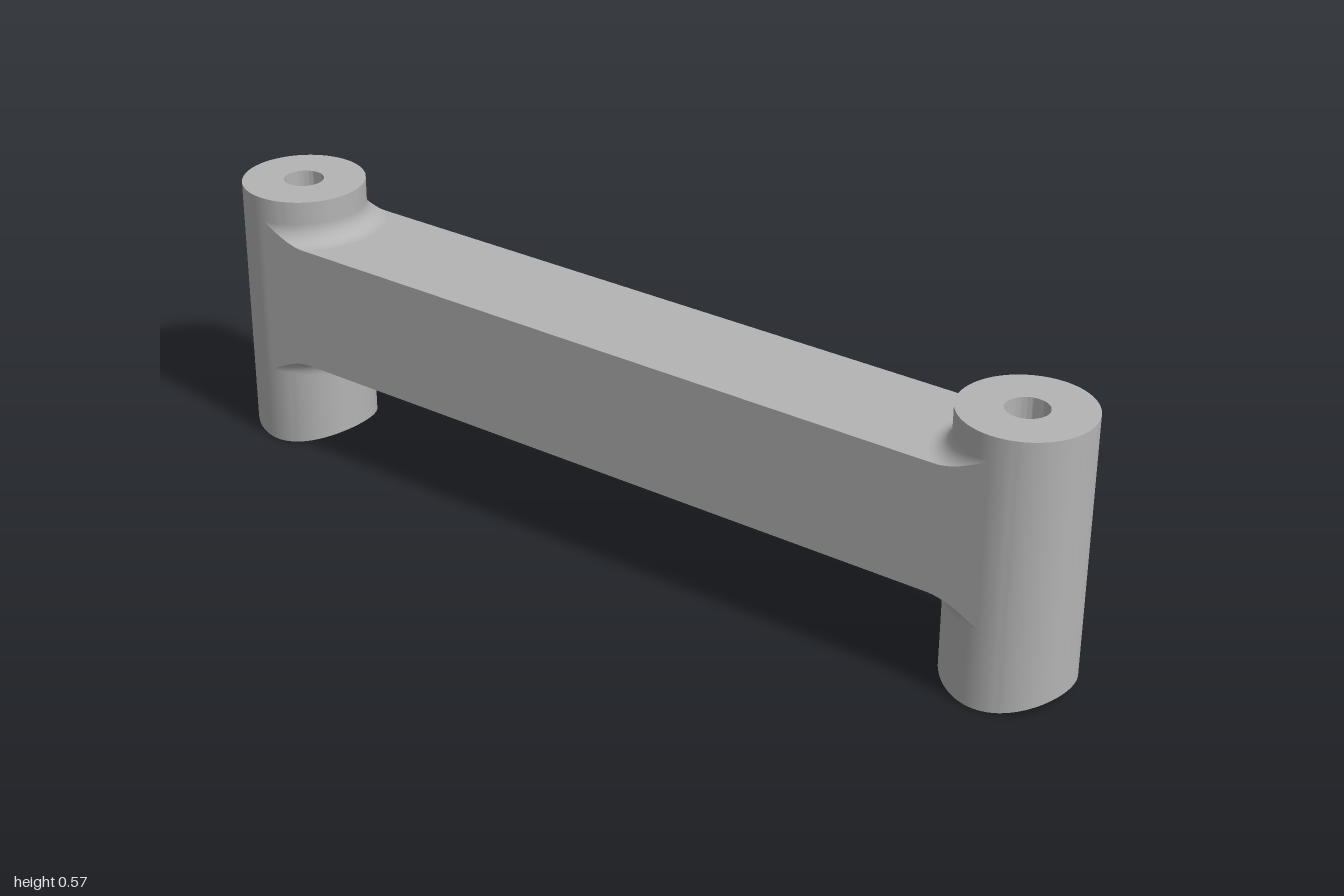
import * as THREE from 'three';
import { toCreasedNormals } from 'three/addons/utils/BufferGeometryUtils.js';

const R = 0.13, HOLE = 0.042, TOP = 0.568, POST_Z = 0.87;
const BAR_LOW = 0.21, BAR_HIGH = 0.477, FILLET = 0.04;
const SADDLE_R = 0.35, SADDLE_RISE = 0.025;

const saddle = (x) => Math.sqrt(SADDLE_R ** 2 - x * x) - SADDLE_R + SADDLE_RISE;

// Bored post with a saddle-shaped underside
function postGeometry() {
  const profile = [];
  for (let i = 0; i <= 4; i++) profile.push(new THREE.Vector2(HOLE + ((R - HOLE) * i) / 4, 0));
  profile.push(new THREE.Vector2(R, TOP), new THREE.Vector2(HOLE, TOP), new THREE.Vector2(HOLE, 0));
  const geo = new THREE.LatheGeometry(profile, 80);
  const pos = geo.attributes.position;
  for (let i = 0; i < pos.count; i++) {
    if (pos.getY(i) < 0.01) pos.setY(i, Math.max(0, saddle(pos.getX(i))));
  }
  return toCreasedNormals(geo, Math.PI / 5);
}

// Bar whose ends are hollowed to fit round the posts
function barGeometry() {
  const shape = new THREE.Shape();
  shape.moveTo(R, -POST_Z);
  shape.lineTo(R, POST_Z);
  shape.absarc(0, POST_Z, R, 0, -Math.PI, true);
  shape.lineTo(-R, -POST_Z);
  shape.absarc(0, -POST_Z, R, Math.PI, 0, true);
  const geo = new THREE.ExtrudeGeometry(shape, {
    depth: BAR_HIGH - BAR_LOW, bevelEnabled: false, curveSegments: 40,
  });
  geo.rotateX(-Math.PI / 2).translate(0, BAR_LOW, 0);
  return toCreasedNormals(geo, Math.PI / 6);
}

// Surface from a grid of points
function gridGeometry(rows, cols, point) {
  const pos = [], index = [];
  for (let i = 0; i <= rows; i++) {
    for (let j = 0; j <= cols; j++) {
      pos.push(...point(i / rows, j / cols));
      if (i < rows && j < cols) {
        const a = i * (cols + 1) + j, b = a + cols + 1;
        index.push(a, a + 1, b, b, a + 1, b + 1);
      }
    }
  }
  const geo = new THREE.BufferGeometry();
  geo.setAttribute('position', new THREE.Float32BufferAttribute(pos, 3));
  geo.setIndex(index);
  geo.computeVertexNormals();
  return geo;
}

// Concave blend round the post, trimmed at the sides of the bar
const angleAt = (u) => (u - 0.5) * Math.PI;
const reach = (a) => Math.min(R + FILLET, R / Math.max(Math.abs(Math.sin(a)), 0.01));
const rise = (r) => {
  const d = Math.max(0, R + FILLET - r);
  return FILLET - Math.sqrt(Math.max(0, FILLET ** 2 - d * d));
};
const filletPoint = (u, v) => {
  const a = angleAt(u), r = R + (reach(a) - R) * v * v;
  return [r * Math.sin(a), rise(r), r * Math.cos(a)];
};
// Flat side closing the trimmed edge of the blend
const skirtPoint = (u, v) => {
  const a = angleAt(u), r = reach(a);
  return [r * Math.sin(a), rise(r) * (1 - v), r * Math.cos(a)];
};

export function createModel() {
  const model = new THREE.Group();
  model.name = 'bracket';
  const grey = new THREE.MeshStandardMaterial({ color: 0xb4b4b4, side: THREE.DoubleSide });
  grey.name = 'plain grey';

  const add = (parent, name, geo) => {
    const mesh = new THREE.Mesh(geo, grey);
    mesh.name = name;
    parent.add(mesh);
    return mesh;
  };

  add(model, 'bar', barGeometry());

  const post = postGeometry();
  const fillet = gridGeometry(80, 10, filletPoint);
  const skirt = gridGeometry(80, 1, skirtPoint);

  for (const end of [1, -1]) {
    const group = new THREE.Group();
    group.name = end > 0 ? 'frontPost' : 'backPost';
    group.position.z = end * POST_Z;
    model.add(group);
    add(group, 'post', post);

    // Blends above and below the bar
    for (const up of [1, -1]) {
      const blend = new THREE.Group();
      blend.name = up > 0 ? 'upperFillet' : 'lowerFillet';
      blend.position.y = up > 0 ? BAR_HIGH : BAR_LOW;
      blend.scale.set(1, up, -end);
      add(blend, 'filletCurve', fillet);
      add(blend, 'filletSide', skirt);
      group.add(blend);
    }
  }
  return model;
}
